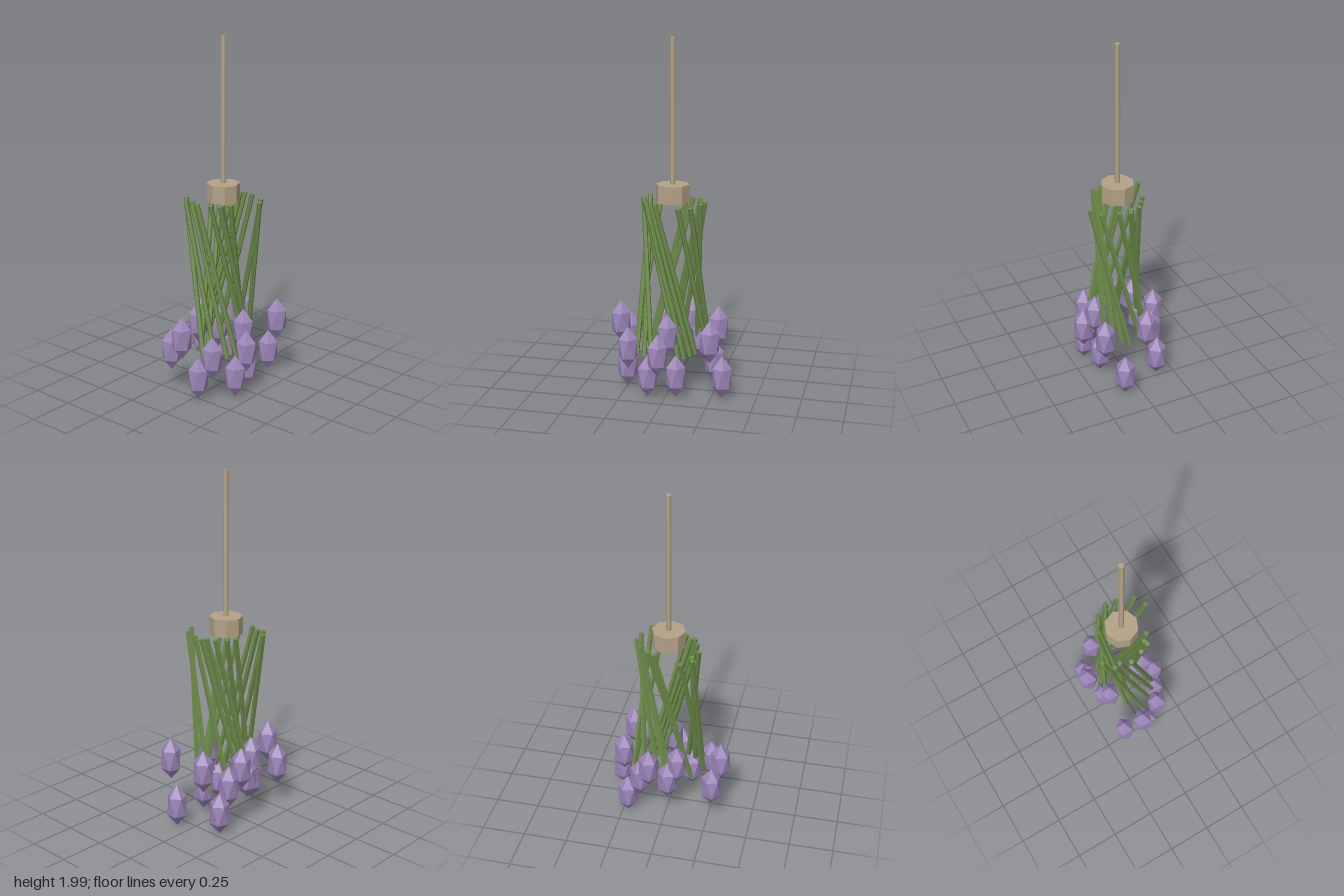
import * as THREE from 'three';

export function createModel() {
  const model = new THREE.Group();
  const wood = new THREE.MeshStandardMaterial({ color: 0xb3a286 });
  wood.name = 'dry wood';
  const green = new THREE.MeshStandardMaterial({ color: 0x6b8a48 });
  green.name = 'stem green';
  const purple = new THREE.MeshStandardMaterial({ color: 0x9d86b9 });
  purple.name = 'blossom purple';

  const add = (name, geometry, material, x, y, z) => {
    const mesh = new THREE.Mesh(geometry, material);
    mesh.name = name;
    mesh.position.set(x, y, z);
    model.add(mesh);
    return mesh;
  };
  // Faceted cylinder with flat sides
  const prism = (radius, height, sides) => {
    const g = new THREE.CylinderGeometry(radius, radius, height, sides).toNonIndexed();
    g.computeVertexNormals();
    return g;
  };

  // Hanging cord and the octagonal binding below it
  add('hangingRod', prism(0.015, 0.8, 6), wood, -0.005, 1.6, -0.007);
  add('binding', prism(0.093, 0.1, 8), wood, -0.005, 1.15, -0.007);

  // Stems in a twisted ring: top x, top z, bottom x, bottom z
  const stems = [
    [0.19, -0.08, 0.012, -0.215], [0.153, -0.141, -0.067, -0.208],
    [0.063, -0.178, -0.135, -0.122], [0.002, -0.19, -0.145, -0.03],
    [-0.013, -0.165, -0.143, 0.015], [-0.067, -0.153, -0.145, 0.045],
    [-0.103, -0.103, -0.015, 0.122], [-0.13, -0.063, -0.052, 0.135],
    [-0.185, 0.096, 0.02, 0.2], [-0.14, 0.151, 0.09, 0.178],
    [-0.105, 0.143, 0.13, 0.125], [-0.046, 0.168, 0.158, 0.078],
    [0.029, 0.145, 0.115, -0.065], [0.08, 0.124, 0.118, -0.1],
    [0.074, 0.103, 0.074, -0.125], [0.107, 0.069, 0.032, -0.145],
  ];
  const stemGeometry = prism(0.0148, 0.9, 5);
  const up = new THREE.Vector3(0, 1, 0);
  for (const [tx, tz, bx, bz] of stems) {
    const stem = add('stem', stemGeometry, green, (tx + bx) / 2, 0.673, (tz + bz) / 2);
    const direction = new THREE.Vector3(tx - bx, 0.87, tz - bz).normalize();
    stem.quaternion.setFromUnitVectors(up, direction);
  }

  // Stretched faceted blossoms, point up, at three heights
  const blossomGeometry = new THREE.IcosahedronGeometry(0.062, 0);
  blossomGeometry.rotateX(-Math.atan((1 + Math.sqrt(5)) / 2));
  blossomGeometry.rotateY(Math.PI);
  blossomGeometry.scale(1, 2, 1);
  blossomGeometry.computeVertexNormals();
  const levels = [
    [0.134, [[0.088, -0.31], [-0.155, -0.22], [0.025, 0.25], [0.165, 0.098], [0.13, -0.055]]],
    [0.27, [[-0.155, -0.145], [-0.148, 0.015], [-0.15, 0.272], [0.105, 0.225], [0.193, 0.035]]],
    [0.373, [[0.186, -0.258], [-0.07, -0.258], [-0.193, -0.085], [-0.13, 0.065], [-0.045, 0.305], [0.138, -0.008]]],
  ];
  for (const [y, spots] of levels) {
    for (const [x, z] of spots) add('blossom', blossomGeometry, purple, x, y, z);
  }
  return model;
}
